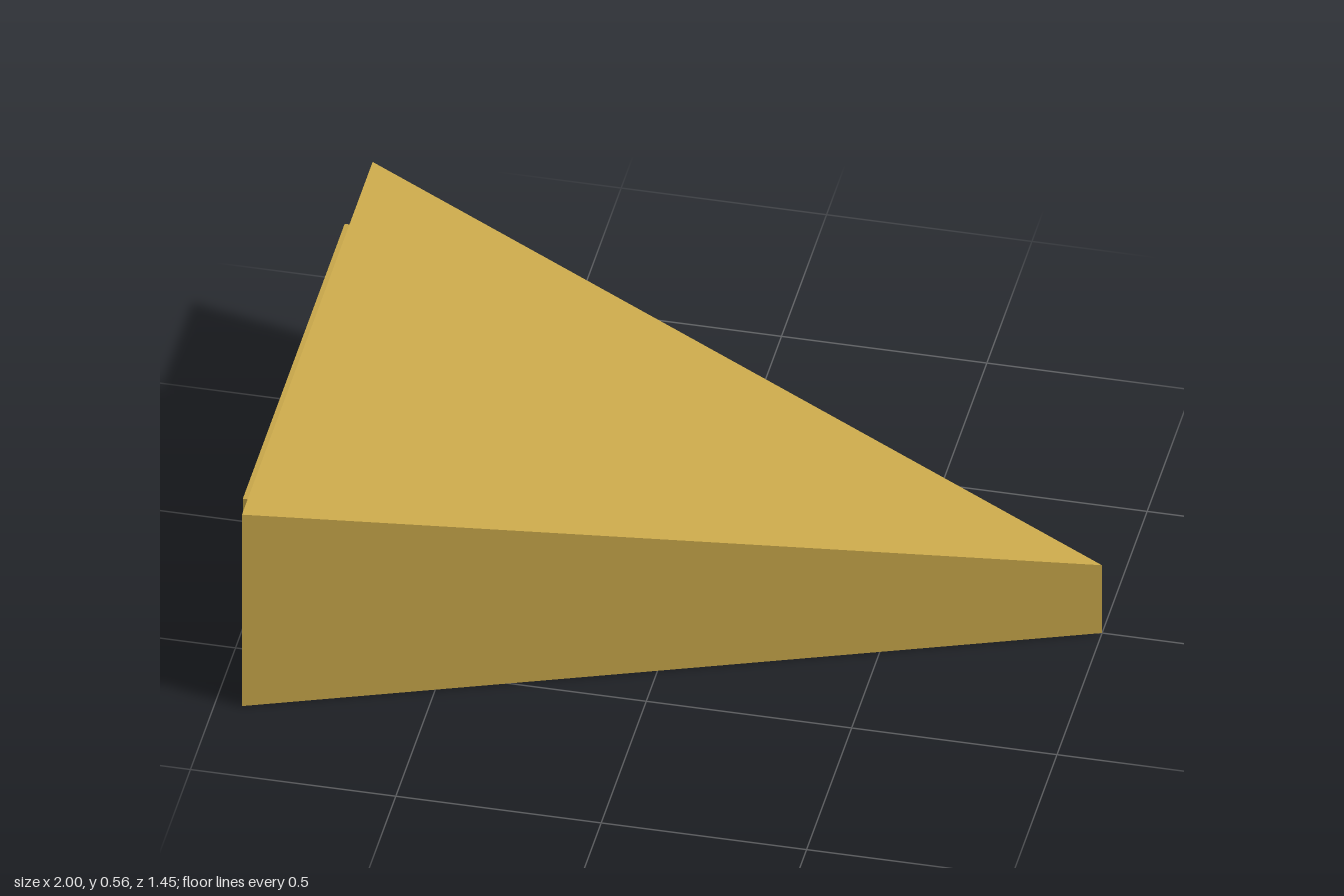
import * as THREE from 'three';

export function createModel() {
  const group = new THREE.Group();
  const gold = new THREE.MeshStandardMaterial({ color: 0xc9a84a });
  gold.name = 'gold';

  const add = (name, geometry, x = 0, y = 0, z = 0) => {
    const mesh = new THREE.Mesh(geometry, gold);
    mesh.name = name;
    mesh.position.set(x, y, z);
    group.add(mesh);
    return mesh;
  };

  // Wedge hull: triangular footprint whose top slopes down to the bow
  const stern = -0.935, bow = 1, halfWidth = 0.725, sternHeight = 0.565, bowHeight = 0.2;
  const footprint = new THREE.Shape([
    new THREE.Vector2(stern, -halfWidth),
    new THREE.Vector2(bow, 0),
    new THREE.Vector2(stern, halfWidth),
  ]);
  const hull = new THREE.ExtrudeGeometry(footprint, { depth: 1, bevelEnabled: false });
  hull.rotateX(-Math.PI / 2);
  const p = hull.attributes.position;
  for (let i = 0; i < p.count; i++) {
    const t = (p.getX(i) - stern) / (bow - stern);
    p.setY(i, p.getY(i) * THREE.MathUtils.lerp(sternHeight, bowHeight, t));
  }
  hull.computeVertexNormals();
  add('hull', hull);

  // Raised stern panel
  add('sternPanel', new THREE.BoxGeometry(0.05, 0.42, 1.13), -0.943, 0.282, 0);

  // Faceted knobs set into the panel
  const addKnob = (name, radius, y, z) => {
    const geometry = new THREE.IcosahedronGeometry(1, 0);
    geometry.rotateX(0.25);
    geometry.scale(0.052, radius, radius);
    geometry.computeVertexNormals();
    add(name, geometry, -0.956, y, z);
  };
  addKnob('largeKnob', 0.08, 0.335, -0.243);
  addKnob('smallKnob', 0.053, 0.2, 0.32);

  return group;
}
